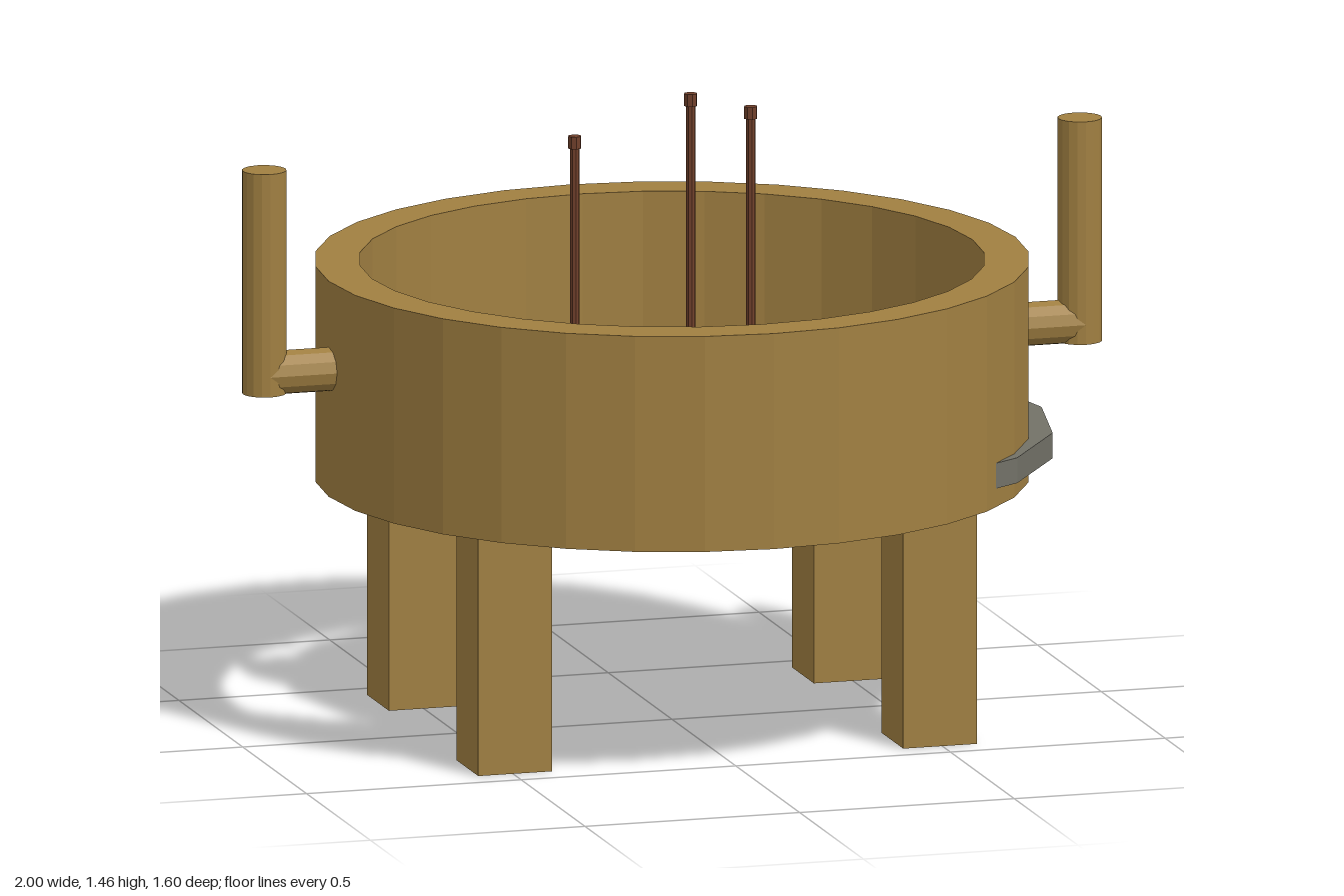
import * as THREE from 'three';

const wood = new THREE.MeshStandardMaterial({ color: 0xa07f41 });
wood.name = 'wood';
const stone = new THREE.MeshStandardMaterial({ color: 0x727167 });
stone.name = 'grey stone';
const rust = new THREE.MeshStandardMaterial({ color: 0x70402b });
rust.name = 'red brown';

// faceted mesh: every face keeps its own normal
function part(name, geometry, material, x = 0, y = 0, z = 0) {
  const flat = geometry.toNonIndexed();
  flat.computeVertexNormals();
  const mesh = new THREE.Mesh(flat, material);
  mesh.name = name;
  mesh.position.set(x, y, z);
  return mesh;
}

export function createModel() {
  const model = new THREE.Group();
  model.name = 'standingTub';

  // open ring wall
  const wall = [[0.8, 0.56], [0.8, 1.053], [0.7, 1.053], [0.7, 0.56], [0.8, 0.56]]
    .map(([r, y]) => new THREE.Vector2(r, y));
  model.add(part('ringWall', new THREE.LatheGeometry(wall, 32), wood));

  // off-centre floor disc, poking out through the wall on one side
  model.add(part('floorDisc', new THREE.CylinderGeometry(0.686, 0.686, 0.058, 16), stone, 0.175, 0.631, 0));

  // four square legs
  for (const sx of [-1, 1]) {
    for (const sz of [-1, 1]) {
      model.add(part('leg', new THREE.BoxGeometry(0.172, 0.565, 0.172), wood, sx * 0.495, 0.2825, sz * 0.35));
    }
  }

  // side handles: a short arm carrying an upright post
  for (const side of [-1, 1]) {
    const handle = new THREE.Group();
    handle.name = side > 0 ? 'leftHandle' : 'rightHandle';
    const arm = new THREE.CylinderGeometry(0.05, 0.05, 0.2, 12).rotateZ(Math.PI / 2);
    handle.add(part('handleArm', arm, wood, side * 0.85, 0.852, 0));
    handle.add(part('handlePost', new THREE.CylinderGeometry(0.05, 0.05, 0.51, 16), wood, side * 0.95, 1.062, 0));
    model.add(handle);
  }

  // thin sticks with small tips, standing on the disc
  for (const [x, z, top] of [[-0.205, -0.073, 1.332], [0.205, -0.073, 1.374], [0, 0.146, 1.463]]) {
    const stick = new THREE.Group();
    stick.name = 'stick';
    const height = top - 0.65;
    stick.add(part('stickShaft', new THREE.CylinderGeometry(0.011, 0.011, height - 0.01, 8), rust, x, 0.65 + (height - 0.01) / 2, z));
    stick.add(part('stickTip', new THREE.CylinderGeometry(0.015, 0.015, 0.028, 8), rust, x, top - 0.014, z));
    model.add(stick);
  }

  return model;
}
